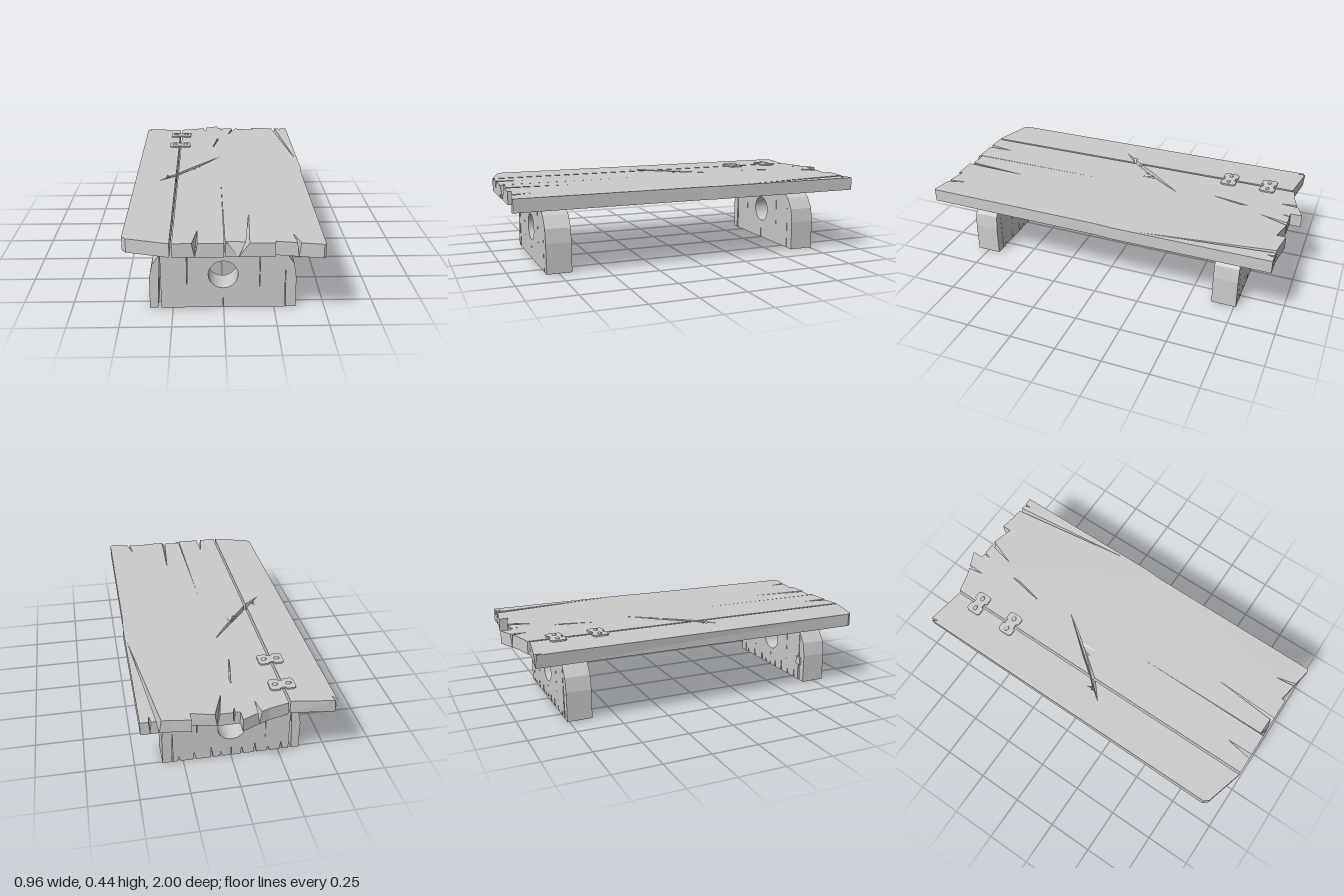
import * as THREE from 'three';

const mat = new THREE.MeshStandardMaterial({ color: 0xcccccc, flatShading: true });

// Chip in an edge: its corners meet in one point on the far face.
function chip(...pts) {
  const a = pts[0], b = pts[pts.length - 1];
  return pts.map(p => [p[0], p[1], (a[0] + b[0]) / 2, (a[1] + b[1]) / 2]);
}

// Solid between a worn face (w = depth) and a plain face (w = 0).
// holes go right through; grooves are cut part way into the worn face.
function board(name, outline, depth, { holes = [], grooves = [], flipU = 1, flipV = 1 } = {}) {
  const pos = [];
  const prep = (pts, clockwise) => {
    const l = pts.map(([u, v, u2 = u, v2 = v]) => ({
      a: new THREE.Vector2(u * flipU, v * flipV), b: new THREE.Vector2(u2 * flipU, v2 * flipV) }));
    if (THREE.ShapeUtils.isClockWise(l.map(p => p.a)) !== clockwise) l.reverse();
    return l;
  };
  const put = (p, w) => pos.push(p.x, p.y, w);
  const cap = (contour, cuts, w, up) => {
    const all = [contour, ...cuts].flat();
    for (const [i, j, k] of THREE.ShapeUtils.triangulateShape(contour, cuts))
      for (const n of up ? [i, j, k] : [k, j, i]) put(all[n], w);
  };
  const wall = (l, w0) => l.forEach((p, i) => {
    const q = l[(i + 1) % l.length];
    put(p.b, w0); put(q.b, w0); put(q.a, depth);
    put(p.b, w0); put(q.a, depth); put(p.a, depth);
  });
  const out = prep(outline, false), hs = holes.map(h => prep(h, true)), gs = grooves.map(g => prep(g, true));
  cap(out.map(p => p.a), [...hs, ...gs].map(l => l.map(p => p.a)), depth, true);
  cap(out.map(p => p.b), hs.map(l => l.map(p => p.b)), 0, false);
  [out, ...hs].forEach(l => wall(l, 0));
  for (const g of gs) {
    wall(g, depth * 0.6);
    cap(g.map(p => p.b).reverse(), [], depth * 0.6, true);
  }
  const geo = new THREE.BufferGeometry();
  geo.setAttribute('position', new THREE.Float32BufferAttribute(pos, 3));
  geo.computeVertexNormals();
  const mesh = new THREE.Mesh(geo, mat);
  mesh.name = name;
  return mesh;
}

// Leg board in x, y; the worn face looks to the back
function leg(name, z) {
  const bottomChips = [0.27, 0.19, 0.1, 0.05, -0.06, -0.13, -0.2, -0.27].flatMap((x, i) => {
    const h = 0.03 + 0.018 * (i % 3);
    return chip([x + 0.008, 0], [x + 0.003, h], [x - 0.008, 0]);
  });
  const half = bottomChips.length / 2;
  const outline = [
    [-0.365, 0], [-0.365, 0.16], [-0.35, 0.235], [-0.31, 0.292], [-0.25, 0.334],
    [-0.182, 0.347], [-0.181, 0.07], [-0.177, 0.347],
    [-0.005, 0.35], [-0.003, 0.26], [-0.001, 0.35],
    [0.175, 0.347], [0.177, 0.06], [0.18, 0.347],
    [0.245, 0.333], [0.305, 0.295], [0.345, 0.235], [0.357, 0.16], [0.357, 0],
    [0.307, 0], [0.303, 0.25], [0.302, 0],
    ...bottomChips.slice(0, half),
    [-0.001, 0], [-0.003, 0.1], [-0.005, 0],
    ...bottomChips.slice(half),
    [-0.309, 0], [-0.31, 0.28], [-0.312, 0.28], [-0.325, 0],
  ];
  const hole = Array.from({ length: 32 }, (_, i) => {
    const a = i / 32 * Math.PI * 2;
    return [-0.003 + 0.073 * Math.cos(a), 0.18 + 0.073 * Math.sin(a)];
  });
  const mesh = board(name, outline, 0.135, { holes: [hole], flipU: -1 });
  mesh.rotation.y = Math.PI;
  mesh.position.z = z;
  return mesh;
}

// Plank in x, z; the worn face is the top
function plank(name, outline, grooves = []) {
  const mesh = board(name, outline, 0.07, { grooves, flipV: -1 });
  mesh.rotation.x = -Math.PI / 2;
  mesh.position.y = 0.351;
  return mesh;
}

// Metal strap across the gap, with two bent nails
function strap(z) {
  const g = new THREE.Group();
  g.name = 'strap';
  const s = new THREE.Shape([
    [-0.065, -0.03], [-0.055, -0.042], [-0.018, -0.042], [-0.012, -0.03], [0.012, -0.03], [0.018, -0.042],
    [0.055, -0.042], [0.065, -0.03], [0.065, 0.03], [0.055, 0.042], [0.018, 0.042], [0.012, 0.03],
    [-0.012, 0.03], [-0.018, 0.042], [-0.055, 0.042], [-0.065, 0.03]].map(p => new THREE.Vector2(...p)));
  const plate = new THREE.Mesh(new THREE.ExtrudeGeometry(s, { depth: 0.008, bevelEnabled: false }), mat);
  plate.name = 'strapPlate';
  plate.rotation.x = -Math.PI / 2;
  g.add(plate);
  for (const side of [-1, 1]) {
    const nail = new THREE.Mesh(new THREE.SphereGeometry(0.016, 8, 4, 0, Math.PI * 2, 0, Math.PI / 2), mat);
    nail.name = 'strapNail';
    nail.scale.set(1, 0.6, 0.7);
    nail.position.set(side * 0.034, 0.007, 0);
    g.add(nail);
  }
  g.position.set(-0.247, 0.421, z);
  return g;
}

export function createModel() {
  const model = new THREE.Group();
  model.name = 'bench';

  model.add(plank('narrowPlank', [
    ...chip([-0.48, -0.93], [-0.462, -0.9], [-0.467, -0.938]),
    [-0.255, -0.905],
    ...chip([-0.255, 0.015], [-0.292, 0.055], [-0.305, 0.03], [-0.3, 0.06], [-0.312, 0.055],
      [-0.305, 0.075], [-0.345, 0.125], [-0.255, 0.048]),
    [-0.255, 0.975], [-0.46, 0.915], [-0.48, 0.89],
  ]));

  model.add(plank('widePlank', [
    [-0.243, -0.915], [-0.14, -0.94],
    ...chip([-0.1, -0.957], [-0.085, -0.87], [-0.08, -0.965]),
    [0, -1], [0, -0.94],
    ...chip([0.025, -0.94], [0.022, -0.9], [0.035, -0.94]),
    ...chip([0.098, -0.94], [0.065, -0.79], [0.122, -0.94]),
    [0.235, -0.91], [0.235, -0.96], [0.33, -0.945],
    ...chip([0.375, -0.94], [0.465, -0.25], [0.397, -0.94]),
    ...chip([0.422, -0.94], [0.428, -0.9], [0.434, -0.94]),
    [0.475, -0.94], [0.477, -0.1], [0.47, 0], [0.465, 0.99], [0.455, 0.995],
    ...chip([0.352, 0.976], [0.325, 0.87], [0.335, 0.973]),
    [0.235, 0.955], [0.235, 0.975],
    ...chip([0.115, 0.975], [0.13, 0.61], [0.098, 0.96], [0.003, 0.955], [0.015, 0.975]),
    [0.002, 0.975], [0, 0.17], [-0.002, 0.975],
    ...chip([-0.125, 0.975], [-0.127, 0.825], [-0.152, 0.975]),
    [-0.243, 0.975],
    ...chip([-0.243, 0.036], [-0.15, -0.085], [-0.152, -0.055], [-0.14, -0.1], [-0.122, -0.125],
      [-0.11, -0.04], [-0.11, -0.14], [-0.07, -0.195], [0, -0.3], [-0.17, -0.095], [-0.243, 0]),
  ], [[[-0.004, -0.71], [-0.001, -0.66], [-0.04, -0.49], [-0.03, -0.56]]]));

  model.add(strap(-0.768), strap(-0.543));
  model.add(leg('frontLeg', 0.815), leg('backLeg', -0.625));

  // Small staple over the split in the front leg
  const staple = new THREE.Mesh(new THREE.BoxGeometry(0.04, 0.045, 0.012), mat);
  staple.name = 'legStaple';
  staple.position.set(-0.316, 0.12, 0.677);
  model.add(staple);
  return model;
}
